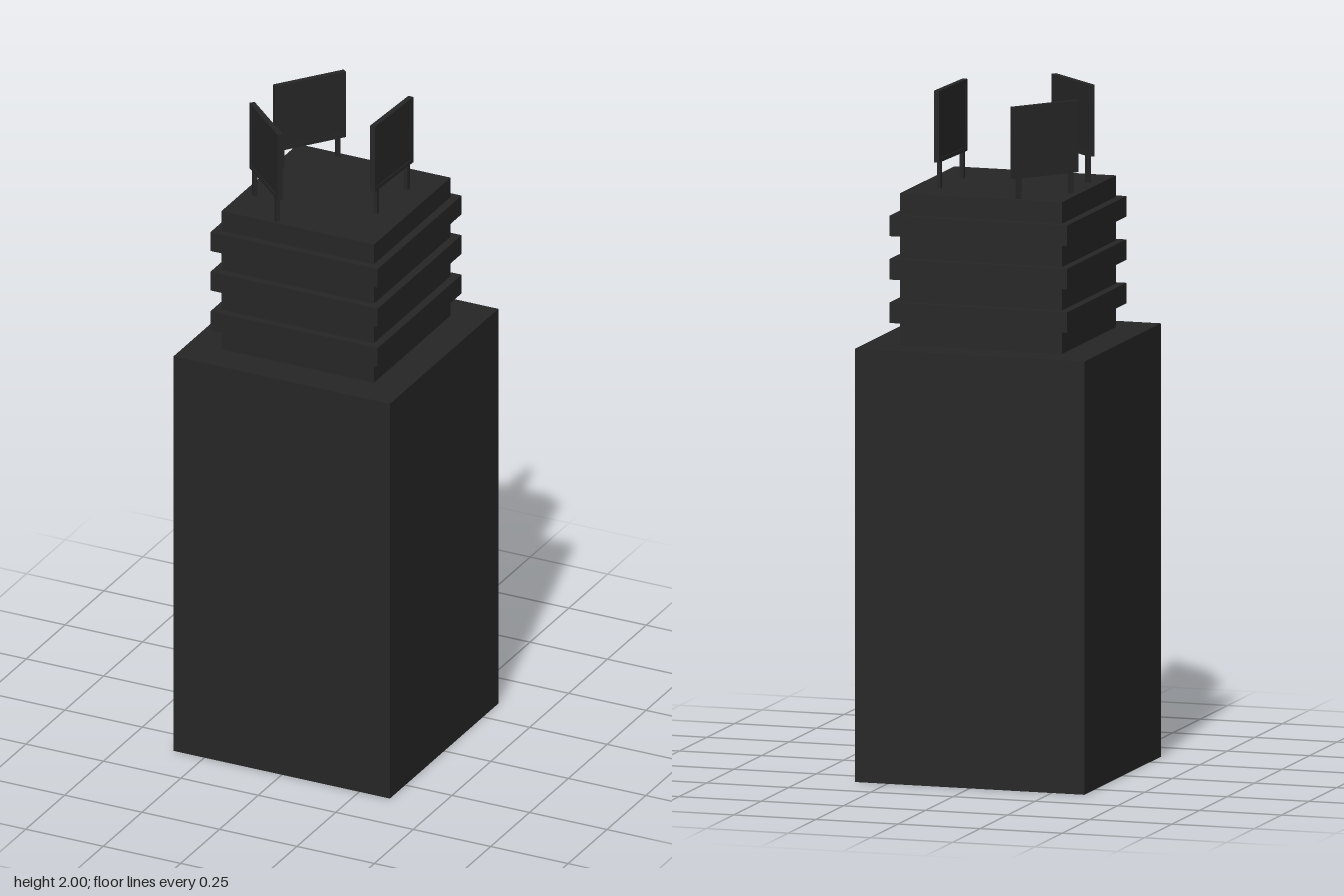
import * as THREE from 'three';

const dark = new THREE.MeshStandardMaterial({ color: 0x262626, flatShading: true });

// Box standing with its underside at y
function block(name, w, h, d, x, y, z) {
  const mesh = new THREE.Mesh(new THREE.BoxGeometry(w, h, d), dark);
  mesh.name = name;
  mesh.position.set(x, y + h / 2, z);
  return mesh;
}

// Framed sign on two posts, spanning its local x axis
function billboard(name, x, z, angle, bottom) {
  const W = 0.226, H = 0.21, T = 0.016, RIM = 0.012, ROOF = 1.712;
  const sign = new THREE.Group();
  sign.name = name;
  sign.position.set(x, 0, z);
  sign.rotation.y = angle;
  sign.add(block('signPanel', W - 2 * RIM, H - 2 * RIM, T - 0.005, 0, bottom + RIM, 0));
  for (const y of [bottom, bottom + H - RIM]) sign.add(block('signRail', W, RIM, T, 0, y, 0));
  for (const s of [-1, 1]) {
    sign.add(block('signStile', RIM, H - 2 * RIM, T, s * (W - RIM) / 2, bottom + RIM, 0));
    sign.add(block('signPost', 0.012, bottom - ROOF + 0.01, 0.012, s * 0.09, ROOF - 0.01, 0));
  }
  return sign;
}

export function createModel() {
  const model = new THREE.Group();
  model.name = 'tower';

  // Main shaft and the narrower crown
  model.add(block('shaft', 0.698, 1.268, 0.698, 0, 0, 0));
  model.add(block('crown', 0.492, 0.444, 0.492, 0, 1.268, 0));

  // Projecting ledges around the crown
  for (let i = 0; i < 3; i++) model.add(block('ledge', 0.54, 0.06, 0.54, 0, 1.335 + i * 0.127, 0));

  // Rooftop signs
  model.add(billboard('backSign', -0.163, -0.155, 0.914, 1.772));
  model.add(billboard('leftSign', 0.163, -0.033, -1.62, 1.79));
  model.add(billboard('frontSign', -0.14, 0.171, -0.74, 1.79));
  return model;
}
